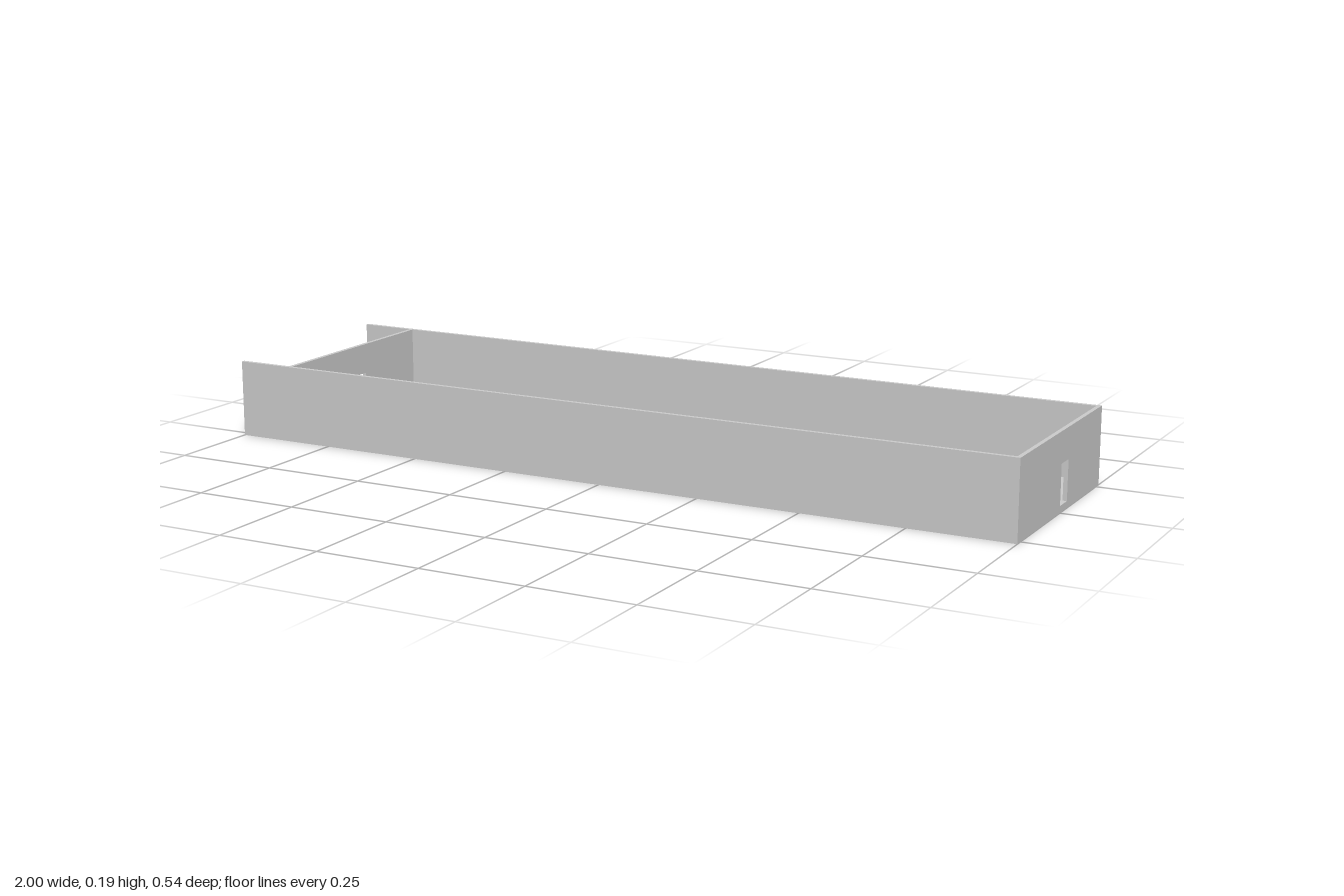
import * as THREE from 'three';

const LENGTH = 2, DEPTH = 0.538, HEIGHT = 0.185, WALL = 0.01;
const DOOR = { z0: -0.046, z1: 0, y0: 0.016, y1: 0.111 };

export function createModel() {
  const group = new THREE.Group();
  const material = new THREE.MeshStandardMaterial({ color: 0xcccccc, flatShading: true });

  const add = (name, geometry, x, y, z) => {
    const mesh = new THREE.Mesh(geometry, material);
    mesh.name = name;
    mesh.position.set(x, y, z);
    group.add(mesh);
    return mesh;
  };

  // Floor slab
  add('floor', new THREE.BoxGeometry(LENGTH, WALL, DEPTH), 0, WALL / 2, 0);

  // Long side walls, standing on the floor
  const wallHeight = HEIGHT - WALL;
  for (const [name, side] of [['frontWall', 1], ['backWall', -1]]) {
    add(name, new THREE.BoxGeometry(LENGTH, wallHeight, WALL),
      0, WALL + wallHeight / 2, side * (DEPTH - WALL) / 2);
  }

  // Cross wall with a doorway: shape x becomes -z once turned to face +x
  const crossWall = (name, x) => {
    const half = DEPTH / 2 - WALL;
    const shape = new THREE.Shape([
      new THREE.Vector2(-half, WALL), new THREE.Vector2(half, WALL),
      new THREE.Vector2(half, HEIGHT), new THREE.Vector2(-half, HEIGHT),
    ]);
    shape.holes.push(new THREE.Path([
      new THREE.Vector2(-DOOR.z1, DOOR.y0), new THREE.Vector2(-DOOR.z1, DOOR.y1),
      new THREE.Vector2(-DOOR.z0, DOOR.y1), new THREE.Vector2(-DOOR.z0, DOOR.y0),
    ]));
    const geometry = new THREE.ExtrudeGeometry(shape, { depth: WALL, bevelEnabled: false });
    add(name, geometry.rotateY(Math.PI / 2), x, 0, 0);
  };

  // Closed end, and the partition set in from the open end
  crossWall('endWall', LENGTH / 2 - WALL);
  crossWall('partitionWall', -0.865);

  return group;
}
